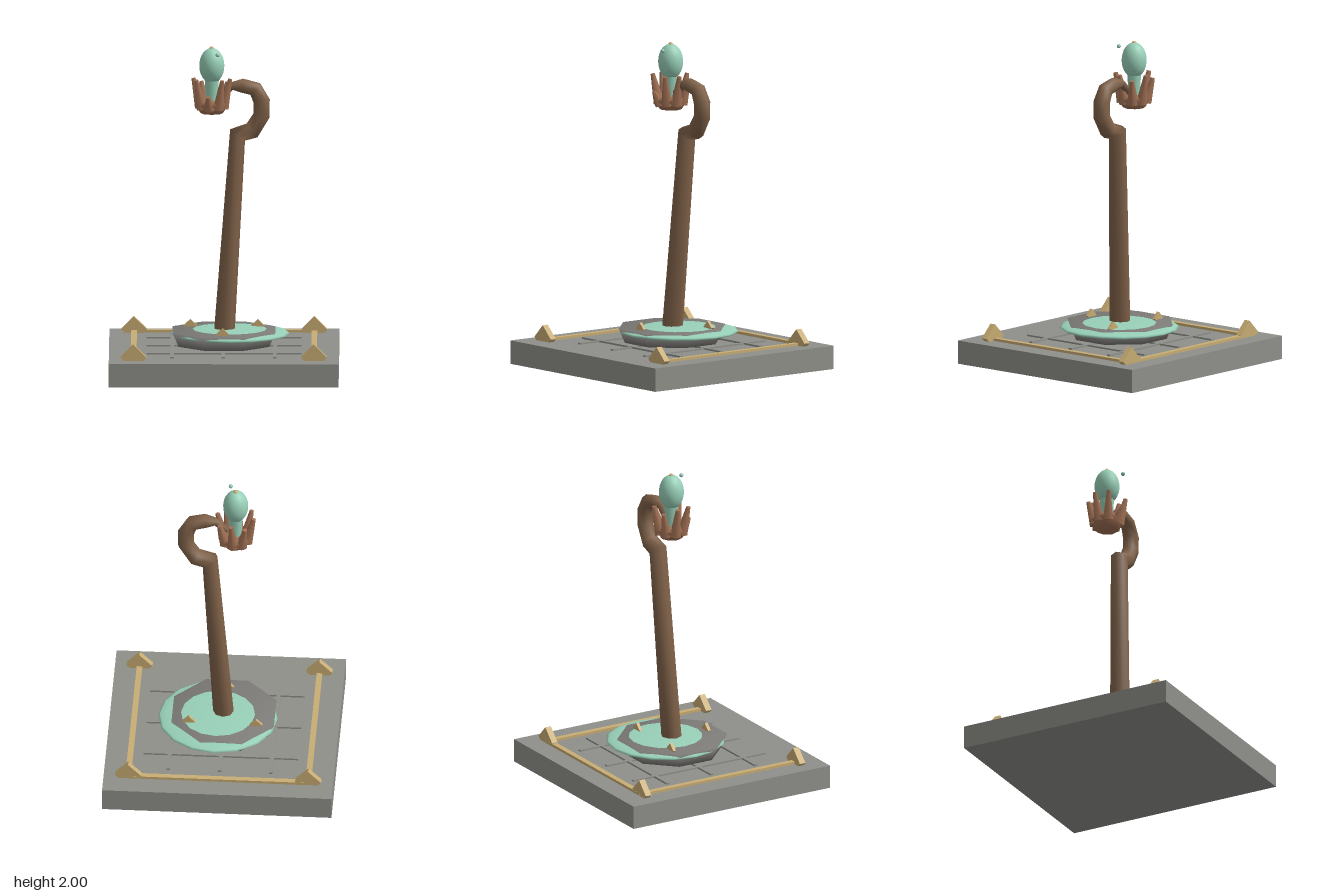
import * as THREE from 'three';

const mat = (name, color, side = THREE.FrontSide) => {
  const m = new THREE.MeshStandardMaterial({ color, side });
  m.name = name;
  return m;
};

// Smooth tube swept through [x, y, z, radius] stations lying close to an xy plane
function sweep(stations, sides) {
  const pos = [], idx = [], n = stations.length;
  const pts = stations.map(s => new THREE.Vector3(s[0], s[1], s[2]));
  for (let i = 0; i < n; i++) {
    const dir = (a, b) => pts[b].clone().sub(pts[a]).normalize();
    const t = new THREE.Vector3();
    if (i > 0) t.add(dir(i - 1, i));
    if (i < n - 1) t.add(dir(i, i + 1));
    t.normalize();
    const u = new THREE.Vector3().crossVectors(t, new THREE.Vector3(0, 0, 1)).normalize();
    const v = new THREE.Vector3().crossVectors(t, u);
    for (let j = 0; j < sides; j++) {
      const a = (j / sides) * Math.PI * 2, r = stations[i][3];
      const p = pts[i].clone().addScaledVector(u, Math.cos(a) * r).addScaledVector(v, Math.sin(a) * r);
      pos.push(p.x, p.y, p.z);
      if (i < n - 1) {
        const k = (j + 1) % sides, A = i * sides + j, B = i * sides + k;
        idx.push(A, B, A + sides, B, B + sides, A + sides);
      }
    }
  }
  // End caps
  for (let j = 1; j < sides - 1; j++) {
    const e = (n - 1) * sides;
    idx.push(0, j + 1, j, e, e + j, e + j + 1);
  }
  const g = new THREE.BufferGeometry();
  g.setAttribute('position', new THREE.Float32BufferAttribute(pos, 3));
  g.setIndex(idx);
  g.computeVertexNormals();
  return g;
}

export function createModel() {
  const root = new THREE.Group();
  const stone = mat('stone', 0x8f908a);
  const darkStone = mat('darkStone', 0x7d7b78, THREE.DoubleSide);
  const gold = mat('gold', 0xc8ad74);
  const teal = mat('teal', 0x98d0b8);
  const bark = mat('bark', 0x806249);
  const copper = mat('copper', 0xa07054, THREE.DoubleSide);

  const add = (name, geo, material, x = 0, y = 0, z = 0, parent = root) => {
    const m = new THREE.Mesh(geo, material);
    m.name = name;
    m.position.set(x, y, z);
    parent.add(m);
    return m;
  };

  // Plinth with a raised lattice
  add('plinth', new THREE.BoxGeometry(1.41, 0.145, 1.41), stone, 0, 0.0725, 0);
  for (const p of [-0.317, -0.003, 0.313]) {
    add('latticeBarAcross', new THREE.BoxGeometry(0.95, 0.02, 0.023), stone, 0, 0.146, p);
    add('latticeBarDeep', new THREE.BoxGeometry(0.023, 0.02, 0.95), stone, p, 0.145, 0);
  }

  // Gold rails on three sides and diamond corner blocks sunk into the plinth
  add('backRail', new THREE.BoxGeometry(1.11, 0.02, 0.035), gold, 0, 0.152, -0.557);
  for (const s of [-1, 1]) {
    add('sideRail', new THREE.BoxGeometry(0.035, 0.02, 1.11), gold, s * 0.553, 0.151, 0);
    for (const t of [-1, 1]) {
      add('cornerBlock', new THREE.BoxGeometry(0.113, 0.113, 0.04), gold, s * 0.553, 0.165, t * 0.553)
        .rotation.z = Math.PI / 4;
    }
  }

  // Octagonal dish, turned so a flat faces the front
  const dishProfile = [[0.001, 0.15], [0.302, 0.16], [0.341, 0.25], [0.001, 0.25]]
    .map(p => new THREE.Vector2(...p));
  add('dish', new THREE.LatheGeometry(dishProfile, 8), darkStone).rotation.y = Math.PI / 8;

  // Flattened pool, offset from the dish
  add('pool', new THREE.SphereGeometry(0.367, 16, 12), teal, 0.035, 0.225, -0.025).scale.y = 0.088;

  // Small diamonds standing on the dish
  for (const [x, z] of [[-0.206, -0.13], [0.208, -0.12], [-0.008, 0.24]]) {
    add('dishDiamond', new THREE.BoxGeometry(0.056, 0.056, 0.02), gold, x, 0.256, z)
      .rotation.z = Math.PI / 4;
  }

  // Leaning stalk with a hooked top
  add('stalk', sweep([
    [0, 0.2, 0, 0.064], [0.083, 1.45, -0.05, 0.058], [0.172, 1.478, -0.05, 0.054],
    [0.229, 1.57, -0.05, 0.051], [0.231, 1.66, -0.05, 0.051], [0.192, 1.735, -0.05, 0.047],
    [0.112, 1.756, -0.05, 0.044], [0.045, 1.752, -0.05, 0.025], [-0.02, 1.69, -0.05, 0.025],
  ], 8), bark);

  // Flower hanging off the hook
  const flower = new THREE.Group();
  flower.name = 'flower';
  flower.position.set(-0.075, 0, -0.05);
  root.add(flower);
  const cup = [[0.001, 1.585], [0.068, 1.585], [0.105, 1.64], [0.085, 1.67], [0.001, 1.66]]
    .map(p => new THREE.Vector2(...p));
  add('cup', new THREE.LatheGeometry(cup, 8), copper, 0, 0, 0, flower);

  // Ring of tapered petals, the front one shorter
  const up = new THREE.Vector3(0, 1, 0);
  [1.8, 1.77, 1.8, 1.8, 1.7, 1.8, 1.8, 1.77].forEach((tipY, i) => {
    const a = THREE.MathUtils.degToRad(11 + i * 45);
    const out = (r, y) => new THREE.Vector3(Math.sin(a) * r, y, -Math.cos(a) * r);
    const low = out(0.073, 1.62), tip = out(0.115, tipY);
    const dir = tip.clone().sub(low);
    const petal = add('petal', new THREE.CylinderGeometry(0.014, 0.037, dir.length(), 6), copper, 0, 0, 0, flower);
    petal.position.copy(low).add(tip).multiplyScalar(0.5);
    petal.quaternion.setFromUnitVectors(up, dir.normalize());
  });

  // Bulb on its neck, with a gold tip and a floating droplet
  add('neck', new THREE.CylinderGeometry(0.045, 0.035, 0.15, 12), teal, 0, 1.74, 0, flower);
  add('bulb', new THREE.SphereGeometry(0.077, 24, 16), teal, 0, 1.88, 0, flower).scale.y = 1.43;
  add('bulbTip', new THREE.SphereGeometry(0.015, 12, 8), gold, 0, 1.985, 0, flower);
  add('droplet', new THREE.SphereGeometry(0.013, 12, 8), teal, 0.036, 1.96, 0.093, flower);

  return root;
}
